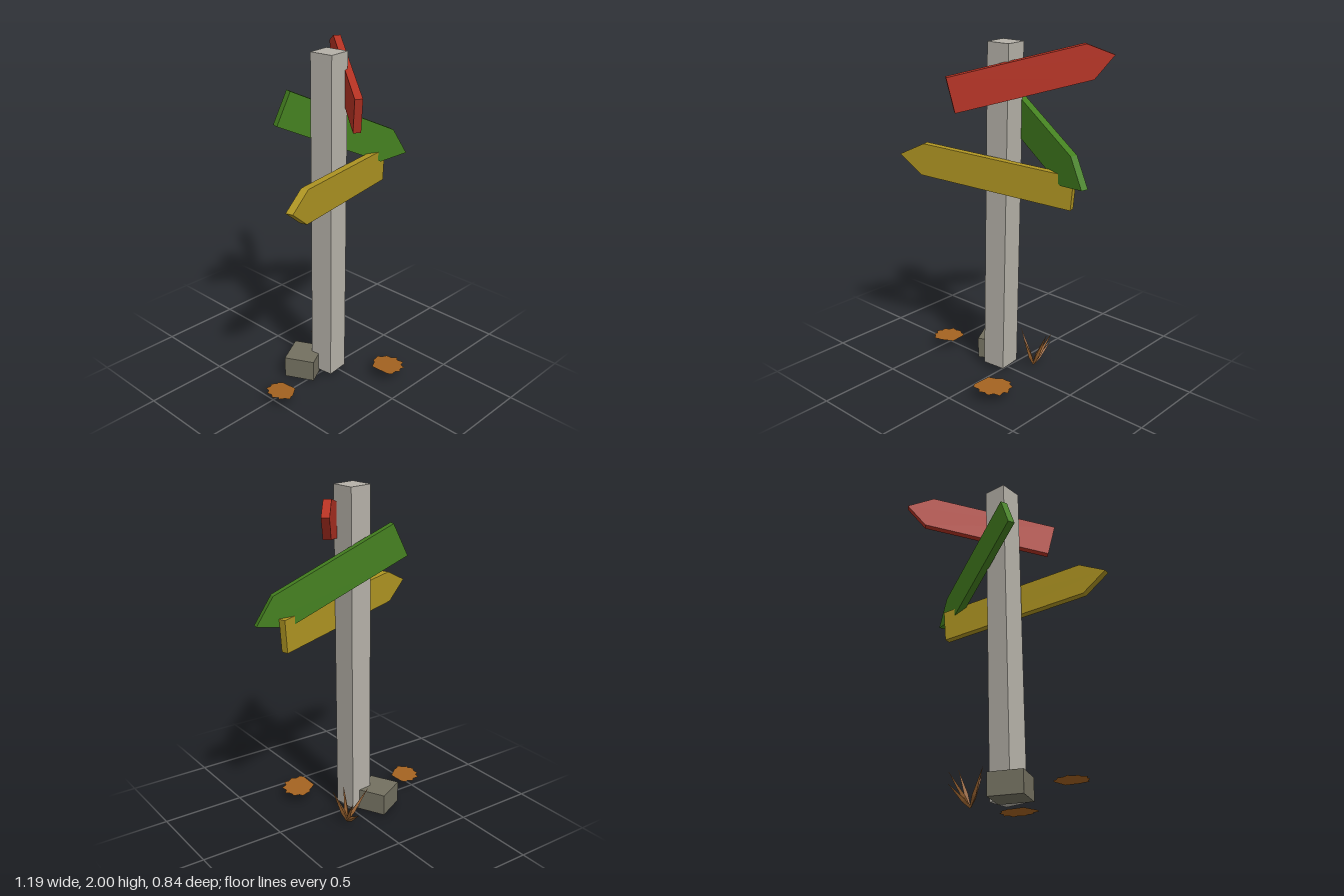
import * as THREE from 'three';

const paint = (name, color, extra = {}) => {
  const m = new THREE.MeshStandardMaterial({ color, ...extra });
  m.name = name;
  return m;
};

export function createModel() {
  const root = new THREE.Group();
  root.name = 'signpost';
  const stone = paint('pale grey wood', 0xb5b1a8);
  const red = paint('red', 0xb53223);
  const green = paint('green', 0x44801f);
  const yellow = paint('yellow', 0xae9422);
  const rockGrey = paint('rock grey', 0x737060);
  const leafOrange = paint('leaf orange', 0xa36220, { side: THREE.DoubleSide });
  const straw = paint('dry grass brown', 0x96602e, { flatShading: true });

  const add = (name, geometry, material, parent = root) => {
    const mesh = new THREE.Mesh(geometry, material);
    mesh.name = name;
    parent.add(mesh);
    return mesh;
  };

  // Leaning square post
  const foot = new THREE.Vector3(-0.043, 0.025, 0.012);
  const head = new THREE.Vector3(-0.0145, 1.998, -0.006);
  const up = new THREE.Vector3(0, 1, 0);
  const axis = head.clone().sub(foot);
  const post = add('post', new THREE.BoxGeometry(0.142, axis.length(), 0.145), stone);
  post.position.copy(foot).add(head).multiplyScalar(0.5);
  post.quaternion.setFromUnitVectors(up, axis.clone().normalize())
    .multiply(new THREE.Quaternion().setFromAxisAngle(up, 0.115));

  // Arrow boards: upright planks running between two plan points [x, z];
  // outline is [distance along the board, height]
  const board = (name, material, from, to, outline) => {
    const t = 0.043;
    const shape = new THREE.Shape(outline.map(([s, y]) => new THREE.Vector2(s, y)));
    const g = new THREE.ExtrudeGeometry(shape, { depth: t, bevelEnabled: false });
    g.translate(0, 0, -t / 2);
    const mesh = add(name, g, material);
    mesh.position.set(from[0], 0, from[1]);
    mesh.rotation.y = Math.atan2(from[1] - to[1], to[0] - from[0]);
  };
  board('redArrowBoard', red, [-0.143, 0.331], [0.428, -0.405],
    [[0, 1.83], [0.045, 1.634], [0.817, 1.793], [0.932, 1.926], [0.77, 1.99]]);
  board('greenArrowBoard', green, [-0.267, -0.174], [0.59, 0.041],
    [[0, 1.602], [0.697, 1.263], [0.884, 1.284], [0.785, 1.448], [0.088, 1.788]]);
  board('yellowArrowBoard', yellow, [-0.59, 0.273], [0.467, -0.034],
    [[0, 1.315], [0.143, 1.204], [1.085, 1.125], [1.101, 1.318], [0.162, 1.395]]);

  // Rock at the foot of the post
  const rock = add('rock', new THREE.BoxGeometry(0.2, 0.13, 0.184), rockGrey);
  rock.position.set(-0.158, 0.07, -0.083);
  rock.rotation.y = 0.477;

  // Dry grass tuft: slim blades, widest a third of the way up
  const tuft = new THREE.Group();
  tuft.name = 'grassTuft';
  root.add(tuft);
  const base = new THREE.Vector3(0.105, 0, -0.128);
  const profile = [[0.006, 0], [0.015, 0.3], [0, 1]].map(([r, y]) => new THREE.Vector2(r, y));
  const tips = [
    [-0.03, 0.2, -0.16], [0.125, 0.11, -0.275], [0.15, 0.185, -0.25],
    [0.21, 0.237, -0.128], [0.083, 0.2, -0.058],
  ];
  tips.forEach((tip, i) => {
    const dir = new THREE.Vector3(...tip).sub(base);
    const blade = add('grassBlade' + (i + 1), new THREE.LatheGeometry(profile, 4), straw, tuft);
    blade.scale.y = dir.length();
    blade.position.copy(base);
    blade.quaternion.setFromUnitVectors(up, dir.normalize());
  });

  // Fallen leaves with ragged rims; rim points are [x, z] around the leaf centre
  const leaf = (name, position, rim) => {
    const g = new THREE.ShapeGeometry(new THREE.Shape(rim.map(([x, z]) => new THREE.Vector2(x, -z))));
    g.rotateX(-Math.PI / 2);
    const mesh = add(name, g, leafOrange);
    mesh.position.set(...position);
    mesh.rotation.set(-0.037, 0, -0.07);
  };
  leaf('frontLeaf', [0.18, 0.062, 0.31], [
    [-0.09, -0.05], [-0.043, -0.077], [-0.024, -0.1], [0, -0.103], [0.034, -0.112],
    [0.043, -0.09], [0.078, -0.077], [0.078, -0.045], [0.104, -0.013], [0.082, 0.006],
    [0.091, 0.047], [0.053, 0.06], [0.043, 0.095], [0.011, 0.089], [-0.017, 0.108],
    [-0.036, 0.089], [-0.075, 0.095], [-0.09, 0.07],
  ]);
  leaf('sideLeaf', [-0.475, 0.067, 0.045], [
    [0.073, -0.061], [0.057, -0.083], [0.041, -0.08], [0.012, -0.099], [-0.007, -0.083],
    [-0.042, -0.086], [-0.048, -0.055], [-0.074, -0.039], [-0.067, -0.01], [-0.086, 0.019],
    [-0.061, 0.041], [-0.067, 0.06], [-0.039, 0.076], [-0.023, 0.102], [0, 0.086],
    [0.018, 0.083], [0.081, 0.035],
  ]);

  return root;
}
